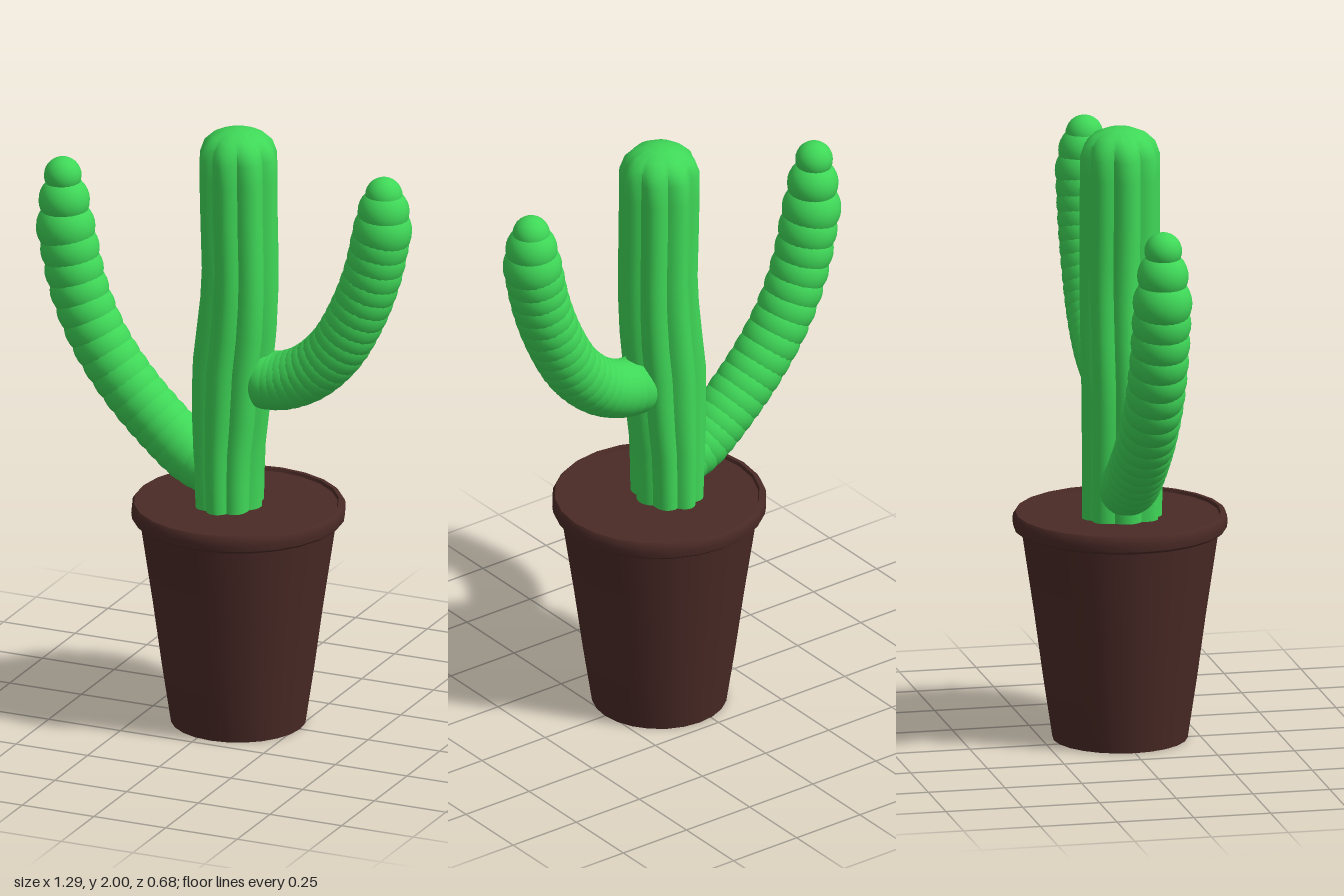
import * as THREE from 'three';
import { toCreasedNormals } from 'three/addons/utils/BufferGeometryUtils.js';

const green = new THREE.MeshStandardMaterial({ color: 0x3fd858 });
const brown = new THREE.MeshStandardMaterial({ color: 0x4a2a26 });
const CENTER_X = 0.048;

const v2 = (list) => list.map(([x, y]) => new THREE.Vector2(x, y));

function mesh(name, geometry, material) {
  const m = new THREE.Mesh(geometry, material);
  m.name = name;
  return m;
}

// Linear lookup in a table of rows [key, a, b, ...]
function lookup(rows, key) {
  let i = 1;
  while (i < rows.length - 1 && rows[i][0] < key) i++;
  const [p, q] = [rows[i - 1], rows[i]];
  const t = THREE.MathUtils.clamp((key - p[0]) / (q[0] - p[0]), 0, 1);
  return p.map((v, k) => v + (q[k] - v) * t);
}

// Tapered pot with a rolled rim, closed by the soil disc
function makePot() {
  const profile = v2([
    [0, 0], [0.215, 0], [0.245, 0.2], [0.272, 0.4], [0.315, 0.69],
    [0.33, 0.682], [0.339, 0.69], [0.342, 0.71], [0.34, 0.73], [0.333, 0.74],
    [0.32, 0.74], [0.316, 0.73], [0, 0.73],
  ]);
  const pot = mesh('pot', toCreasedNormals(new THREE.LatheGeometry(profile, 24), 0.6), brown);
  pot.position.x = CENTER_X;
  return pot;
}

// Slightly bent trunk with eight rounded ribs that fade out on the cap
function makeTrunk() {
  const profile = v2([
    [0, 0.71], [0.13, 0.71], [0.13, 0.82], [0.13, 0.92], [0.13, 1.02], [0.13, 1.12],
    [0.13, 1.2], [0.13, 1.32], [0.13, 1.44], [0.13, 1.54], [0.13, 1.7], [0.13, 1.84],
    [0.129, 1.91], [0.114, 1.95], [0.085, 1.977], [0.045, 1.993], [0, 2],
  ]);
  // Height, centre x, width factor along x
  const bend = [
    [0.71, 0.018, 0.82], [0.9, 0.016, 0.88], [1.05, 0.022, 1], [1.2, 0.028, 1.04],
    [1.35, 0.045, 1.03], [1.5, 0.055, 0.97], [1.7, 0.05, 0.98], [1.9, 0.047, 1], [2, 0.047, 1],
  ];
  const geometry = new THREE.LatheGeometry(profile, 64);
  const pos = geometry.attributes.position;
  for (let i = 0; i < pos.count; i++) {
    const [x, y, z] = [pos.getX(i), pos.getY(i), pos.getZ(i)];
    const depth = 0.13 * THREE.MathUtils.clamp((2 - y) / 0.08, 0, 1);
    const rib = 1 - depth * (1 - Math.abs(Math.cos(4 * Math.atan2(x, z))));
    const [, cx, width] = lookup(bend, y);
    pos.setXYZ(i, cx + x * rib * width, y, z * rib);
  }
  return mesh('trunk', toCreasedNormals(geometry, 0.6), green);
}

// Arm made of overlapping balls strung along a curve, closed by two smaller tip balls
function makeArm(name, path, count, tips) {
  const arm = new THREE.Group();
  arm.name = name;
  const ball = new THREE.SphereGeometry(1, 24, 16);
  const add = (x, y, r) => {
    const segment = mesh(name + 'Segment', ball, green);
    segment.position.set(x, y, 0);
    segment.scale.setScalar(r);
    arm.add(segment);
  };
  const curve = new THREE.CatmullRomCurve3(path.map(([x, y]) => new THREE.Vector3(x, y, 0)));
  for (let i = 0; i < count; i++) {
    const t = i / (count - 1);
    // Balls sit closer together near the trunk
    const p = curve.getPointAt(0.65 * t + 0.35 * t * t);
    add(p.x, p.y, 0.095);
  }
  tips.forEach((tip) => add(...tip));
  return arm;
}

export function createModel() {
  const model = new THREE.Group();
  model.name = 'pottedCactus';
  model.add(
    makePot(),
    makeTrunk(),
    makeArm('leftArm',
      [[0.15, 1.165], [0.2, 1.17], [0.29, 1.21], [0.385, 1.3], [0.46, 1.43], [0.515, 1.575], [0.55, 1.73]],
      20, [[0.554, 1.795, 0.083], [0.555, 1.85, 0.06]]),
    makeArm('rightArm',
      [[-0.05, 0.845], [-0.11, 0.87], [-0.21, 0.95], [-0.335, 1.075], [-0.44, 1.22], [-0.51, 1.38], [-0.555, 1.575]],
      18, [[-0.56, 1.665, 0.082], [-0.565, 1.748, 0.06]]),
  );
  return model;
}
